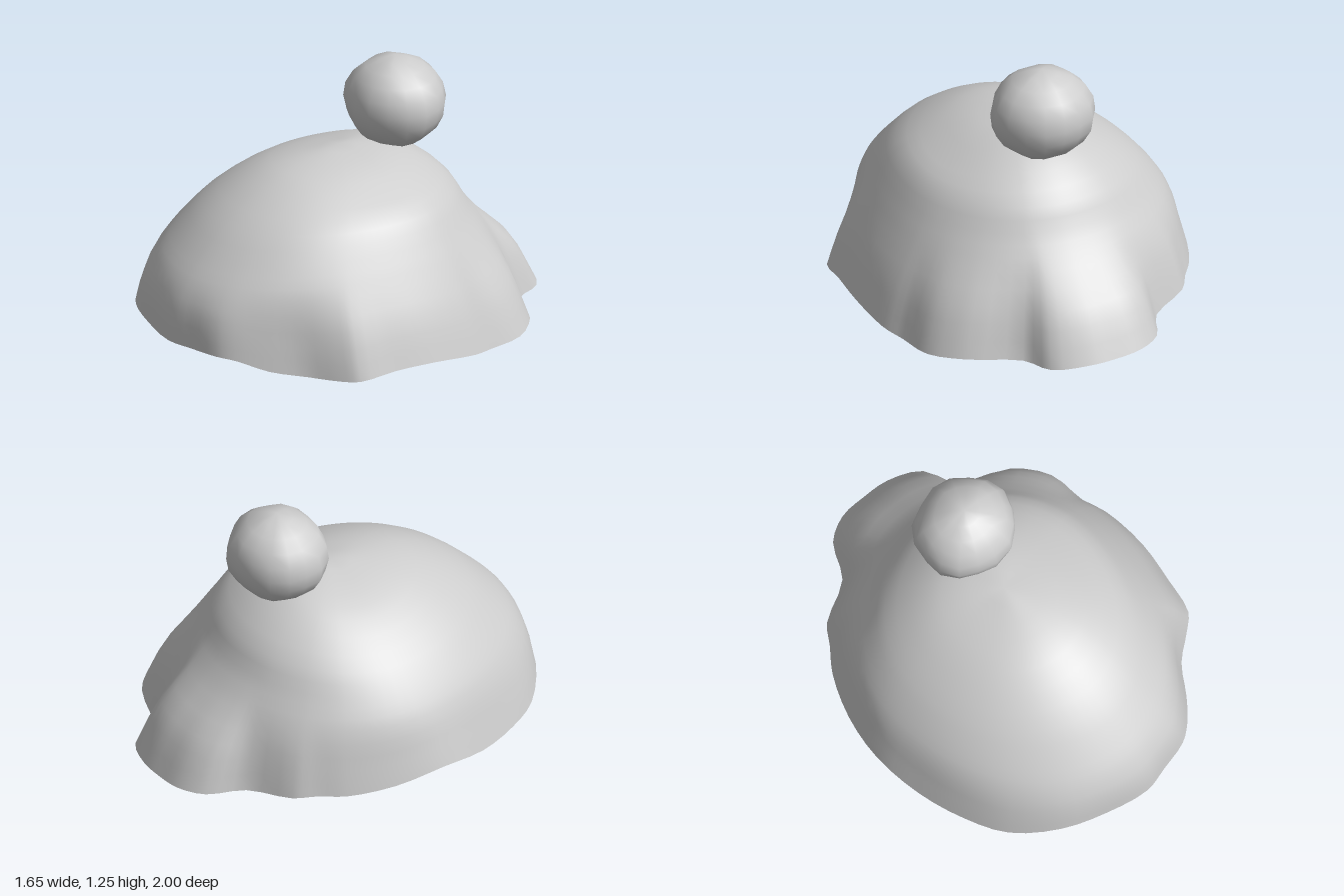
import * as THREE from 'three';
import { mergeVertices } from 'three/addons/utils/BufferGeometryUtils.js';

const V = (x, y, z) => new THREE.Vector3(x, y, z);

// How strongly each row of the cap follows the ragged rim
const PULL = [0, 0, 0, 0, 0, 0.1, 0.68, 1];
// Meridians from crown to rim: [distance from the axis, height]
const meridian = (points) =>
  new THREE.CatmullRomCurve3(points.map(([r, y], i) => V(r, y, PULL[i])), false, 'centripetal');
const FRONT = meridian([[0, 0.865], [0.24, 0.84], [0.42, 0.79], [0.66, 0.65], [0.82, 0.5], [0.91, 0.4], [0.98, 0.25], [1, 0.12]]);
const BACK = meridian([[0, 0.865], [0.2, 0.85], [0.35, 0.8], [0.53, 0.66], [0.61, 0.53], [0.69, 0.41], [0.75, 0.23], [0.79, 0.03]]);
const LEFT = meridian([[0, 0.865], [0.2, 0.825], [0.38, 0.74], [0.51, 0.66], [0.6, 0.53], [0.67, 0.41], [0.76, 0.23], [0.82, 0.05]]);
const RIGHT = meridian([[0, 0.865], [0.2, 0.82], [0.38, 0.745], [0.56, 0.61], [0.66, 0.5], [0.73, 0.4], [0.79, 0.25], [0.83, 0.13]]);

// Ragged rim, from the front round by the left side: x, y, z
const RIM = [
  [0.02, 0.12, 1], [0.15, 0.12, 0.97], [0.3, 0.12, 0.93], [0.38, 0.11, 0.87], [0.48, 0.06, 0.75],
  [0.58, 0.03, 0.6], [0.7, 0.025, 0.5], [0.77, 0.03, 0.43], [0.8, 0.05, 0.25], [0.825, 0.05, 0.04],
  [0.81, 0.02, -0.2], [0.77, 0.005, -0.32], [0.74, 0.01, -0.51], [0.61, 0.02, -0.66], [0.37, 0.005, -0.77],
  [0.3, 0.01, -0.92], [0.14, 0.025, -0.99], [0, 0.03, -1], [-0.14, 0.04, -0.99], [-0.26, 0.045, -0.92],
  [-0.35, 0.05, -0.75], [-0.55, 0.07, -0.63], [-0.62, 0.08, -0.53], [-0.7, 0.08, -0.42], [-0.79, 0.1, -0.2],
  [-0.83, 0.13, 0.05], [-0.79, 0.09, 0.3], [-0.71, 0.08, 0.53], [-0.6, 0.08, 0.72], [-0.41, 0.12, 0.88],
  [-0.2, 0.125, 0.96],
];

// Open cap: quarter ellipses between the meridians, drawn out to the rim
function capGeometry(rows = 18) {
  const rim = new THREE.CatmullRomCurve3(RIM.map((p) => V(...p)), true, 'centripetal');
  const n = RIM.length * 3;
  const base = (t, phi) => {
    const c = Math.cos(phi), s = Math.sin(phi);
    const side = (c > 0 ? LEFT : RIGHT).getPoint(t);
    const end = (s > 0 ? FRONT : BACK).getPoint(t);
    return { pos: V(side.x * c, side.y * c * c + end.y * s * s, end.x * s), pull: side.z * c * c + end.z * s * s };
  };
  const positions = [0, 0.865, 0];
  const index = [];
  for (let i = 1; i <= rows; i++) {
    for (let j = 0; j < n; j++) {
      const edge = rim.getPoint(j / n);
      const rx = (edge.x > 0 ? LEFT : RIGHT).getPoint(1).x;
      const rz = (edge.z > 0 ? FRONT : BACK).getPoint(1).x;
      const phi = Math.atan2(edge.z / rz, edge.x / rx);
      const { pos, pull } = base(i / rows, phi);
      pos.addScaledVector(edge.sub(base(1, phi).pos), pull);
      positions.push(pos.x, pos.y, pos.z);

      const k = (j + 1) % n;
      const low = 1 + (i - 1) * n, high = low - n;
      if (i === 1) index.push(0, low + j, low + k);
      else index.push(high + j, low + j, low + k, high + j, low + k, high + k);
    }
  }
  const geometry = new THREE.BufferGeometry();
  geometry.setAttribute('position', new THREE.Float32BufferAttribute(positions, 3));
  geometry.setIndex(index);
  geometry.computeVertexNormals();
  return geometry;
}

// Round bun, slightly lumpy, with a pinched tuft on top
function bunGeometry() {
  let geometry = new THREE.SphereGeometry(1, 16, 10);
  geometry.deleteAttribute('uv');
  geometry.deleteAttribute('normal');
  geometry = mergeVertices(geometry, 1e-4);
  const p = geometry.attributes.position;
  for (let i = 0; i < p.count; i++) {
    const v = V().fromBufferAttribute(p, i);
    const a = Math.atan2(v.z, v.x);
    const ring = Math.hypot(v.x, v.z);
    const lump = 1 + 0.03 * ring * Math.cos(5 * a + 2 * v.y) + 0.025 * ring * Math.sin(8 * a);
    v.multiplyScalar(lump);
    if (v.y > 0.99) v.y += 0.06;
    p.setXYZ(i, v.x * 0.25, v.y * 0.218, v.z * 0.235);
  }
  geometry.computeVertexNormals();
  return geometry;
}

export function createModel() {
  const group = new THREE.Group();
  group.name = 'hairWithBun';
  const hair = new THREE.MeshStandardMaterial({ color: 0xcccccc, side: THREE.DoubleSide });
  hair.name = 'light grey';

  const cap = new THREE.Mesh(capGeometry(), hair);
  cap.name = 'hairCap';

  const bun = new THREE.Mesh(bunGeometry(), hair);
  bun.name = 'bun';
  bun.position.set(0.02, 1.02, -0.305);

  group.add(cap, bun);
  return group;
}
